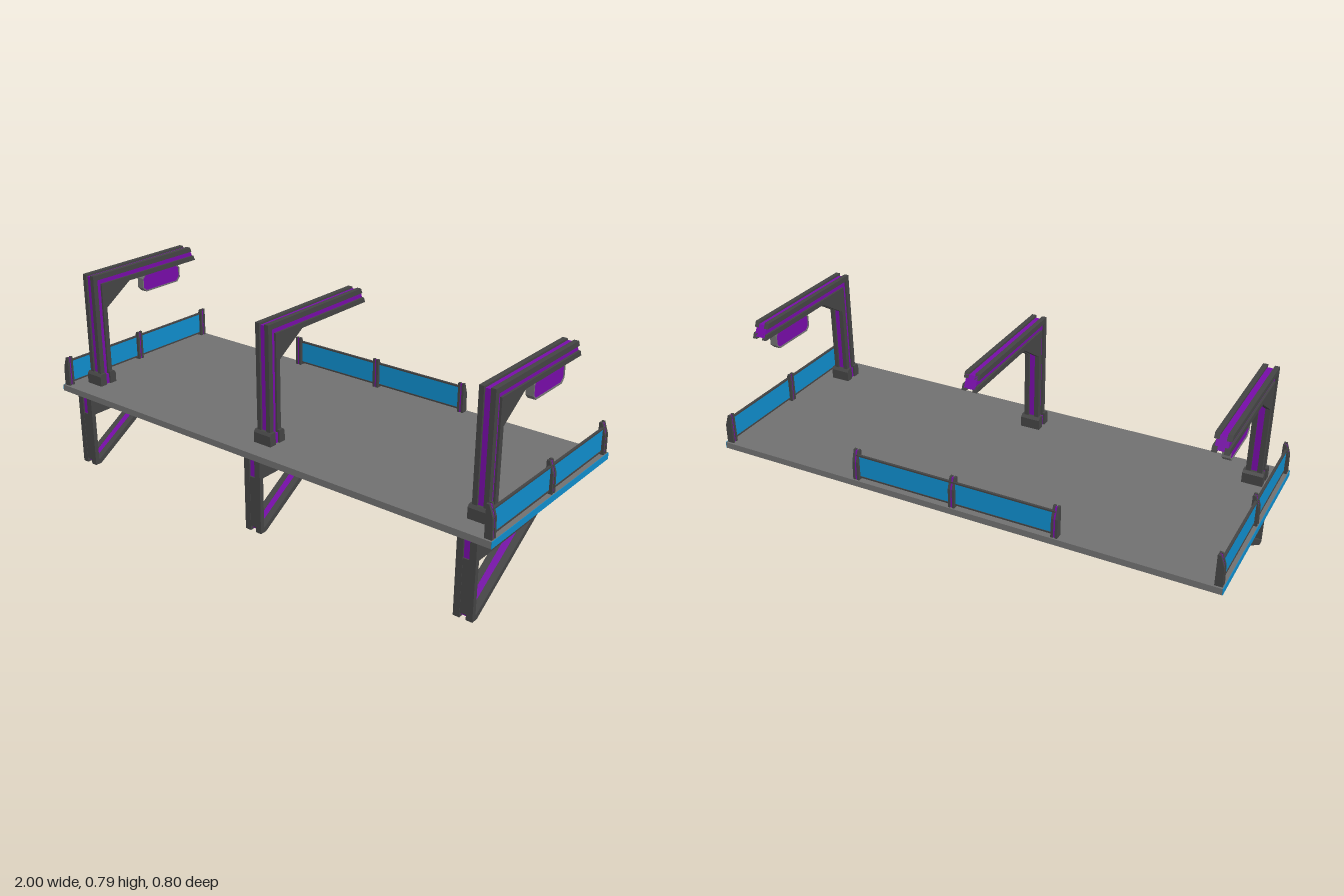
import * as THREE from 'three';

const mat = (color) => new THREE.MeshStandardMaterial({ color, flatShading: true });
const GREY = mat(0x707070), DARK = mat(0x444444), PURPLE = mat(0x770ca8), BLUE = mat(0x0f8ccb);

function add(parent, name, geometry, material) {
  const mesh = new THREE.Mesh(geometry, material);
  mesh.name = name;
  parent.add(mesh);
  return mesh;
}

// Box given by its size and centre
function box(parent, name, material, [w, h, d], [x, y, z]) {
  return add(parent, name, new THREE.BoxGeometry(w, h, d).translate(x, y, z), material);
}

// Side profile of [z, y] points, extruded along x to width w around x
function plate(parent, name, material, points, w, x = 0, hole = null) {
  const toVec = (list) => list.map(([z, y]) => new THREE.Vector2(z, y));
  const shape = new THREE.Shape(toVec(points));
  if (hole) shape.holes.push(new THREE.Path(toVec(hole)));
  const geometry = new THREE.ExtrudeGeometry(shape, { depth: w, bevelEnabled: false });
  geometry.translate(0, 0, -w / 2).rotateY(-Math.PI / 2).translate(x, 0, 0);
  return add(parent, name, geometry, material);
}

// Grooved post with a cantilever arm and a gusset in the corner
function createArch() {
  const g = new THREE.Group();
  g.name = 'arch';
  const end = (y) => [-0.222 - (0.787 - y) * 0.467, y]; // slanted tip of the arm
  const outer = [[0.31, 0.33], [0.31, 0.787], end(0.787), end(0.767), [0.29, 0.767], [0.29, 0.33]];
  const inner = [[0.27, 0.33], [0.27, 0.747], end(0.747), end(0.727), [0.125, 0.727], [0.25, 0.645], [0.25, 0.33]];
  const core = [[0.302, 0.33], [0.302, 0.779], end(0.779), end(0.735), [0.122, 0.735], [0.258, 0.648], [0.258, 0.33]];
  for (const s of [-1, 1]) {
    plate(g, 'outerRail', DARK, outer, 0.018, s * 0.021);
    plate(g, 'innerRail', DARK, inner, 0.018, s * 0.021);
  }
  plate(g, 'archCore', PURPLE, core, 0.044);
  // Foot clamps in front of and behind the side grooves
  for (const [z0, z1] of [[0.32, 0.29], [0.24, 0.27]]) {
    const slope = (z0 - z1) * 0.25;
    plate(g, 'footClamp', DARK,
      [[z0, 0.33], [z0, 0.37], [z0 - slope, 0.38], [z1, 0.38], [z1, 0.33]], 0.078);
  }
  box(g, 'footCore', PURPLE, [0.064, 0.04, 0.03], [0, 0.35, 0.28]);
  return g;
}

// Triangular bracket under the deck with a groove along its underside
function createBracket() {
  const g = new THREE.Group();
  g.name = 'bracket';
  const outline = [[0.378, 0.305], [0.378, 0], [0.35, 0], [-0.04, 0.243], [-0.3, 0.243], [-0.333, 0.305]];
  const opening = [[0.36, 0.222], [0.03, 0.222], [0.355, 0.02], [0.36, 0.02]];
  for (const s of [-1, 1]) plate(g, 'bracketSide', DARK, outline, 0.025, s * 0.0245, opening);
  const strip = [[0.368, 0.018], [0.368, 0.008], [0.352, 0.008], [-0.037, 0.251], [-0.295, 0.251],
    [-0.322, 0.305], [-0.3, 0.305], [-0.28, 0.262], [-0.03, 0.262], [0.355, 0.018]];
  plate(g, 'grooveStrip', PURPLE, strip, 0.025);
  box(g, 'frontWeb', DARK, [0.026, 0.204, 0.017], [0, 0.12, 0.3685]);
  box(g, 'topStrip', PURPLE, [0.026, 0.083, 0.012], [0, 0.2635, 0.366]);
  box(g, 'topWeb', DARK, [0.025, 0.01, 0.34], [0, 0.227, 0.2]);
  return g;
}

// Thin octagonal sign panel with a rim
function createSign() {
  const g = new THREE.Group();
  g.name = 'hangingSign';
  const octagon = (inset) => {
    const a = 0.105 - inset, b = 0.0375 - inset, c = 0.017 - inset * 0.6;
    return [[a, c - b], [a, b - c], [a - c, b], [c - a, b], [-a, b - c], [-a, c - b], [c - a, -b], [a - c, -b]]
      .map(([z, y]) => [z - 0.065, y + 0.6895]);
  };
  plate(g, 'signRim', GREY, octagon(0), 0.03, 0, octagon(0.005));
  plate(g, 'signPanel', PURPLE, octagon(0.005), 0.024);
  return g;
}

// Railing along z, its outer side towards +x, standing on the deck
function createRailing(length) {
  const g = new THREE.Group();
  g.name = 'railing';
  const span = length / 2;
  const post = new THREE.Shape([[-0.014, 0], [0.014, 0], [0.012, 0.075], [-0.003, 0.12], [-0.014, 0.12]]
    .map(([x, y]) => new THREE.Vector2(x, y)));
  for (const z of [-span, 0, span]) {
    for (const s of [-1, 1]) {
      const geometry = new THREE.ExtrudeGeometry(post, { depth: 0.009, bevelEnabled: false });
      add(g, 'railPost', geometry.translate(0, 0, z + s * 0.008 - 0.0045), DARK);
    }
    const core = new THREE.ExtrudeGeometry(post, { depth: 0.008, bevelEnabled: false });
    core.scale(0.8, 0.975, 1).translate(0, 0, z - 0.004);
    add(g, 'railPostCore', core, PURPLE);
  }
  box(g, 'railPanel', BLUE, [0.005, 0.09, length], [0, 0.055, 0]);
  for (const y of [0.011, 0.1]) box(g, 'railBar', DARK, [0.009, 0.006, length], [0, y, 0]);
  return g;
}

export function createModel() {
  const model = new THREE.Group();
  model.name = 'platform';

  // Deck with coloured end strips
  box(model, 'deck', GREY, [1.996, 0.025, 0.8], [0, 0.3175, 0]);
  for (const s of [-1, 1]) box(model, 'endStrip', BLUE, [0.002, 0.025, 0.8], [s * 0.999, 0.3175, 0]);

  // Arches and brackets; the outer arches carry signs
  for (const x of [-0.9, 0, 0.9]) {
    const bay = new THREE.Group();
    bay.name = 'supportBay';
    bay.position.x = x;
    bay.add(createArch(), createBracket());
    if (x !== 0) bay.add(createSign());
    model.add(bay);
  }

  // Railings at both ends and the back
  for (const [x, z, turn, length] of [[0.981, 0, 0, 0.76], [-0.981, 0, Math.PI, 0.76], [0, -0.381, Math.PI / 2, 0.8]]) {
    const railing = createRailing(length);
    railing.position.set(x, 0.33, z);
    railing.rotation.y = turn;
    model.add(railing);
  }
  return model;
}
